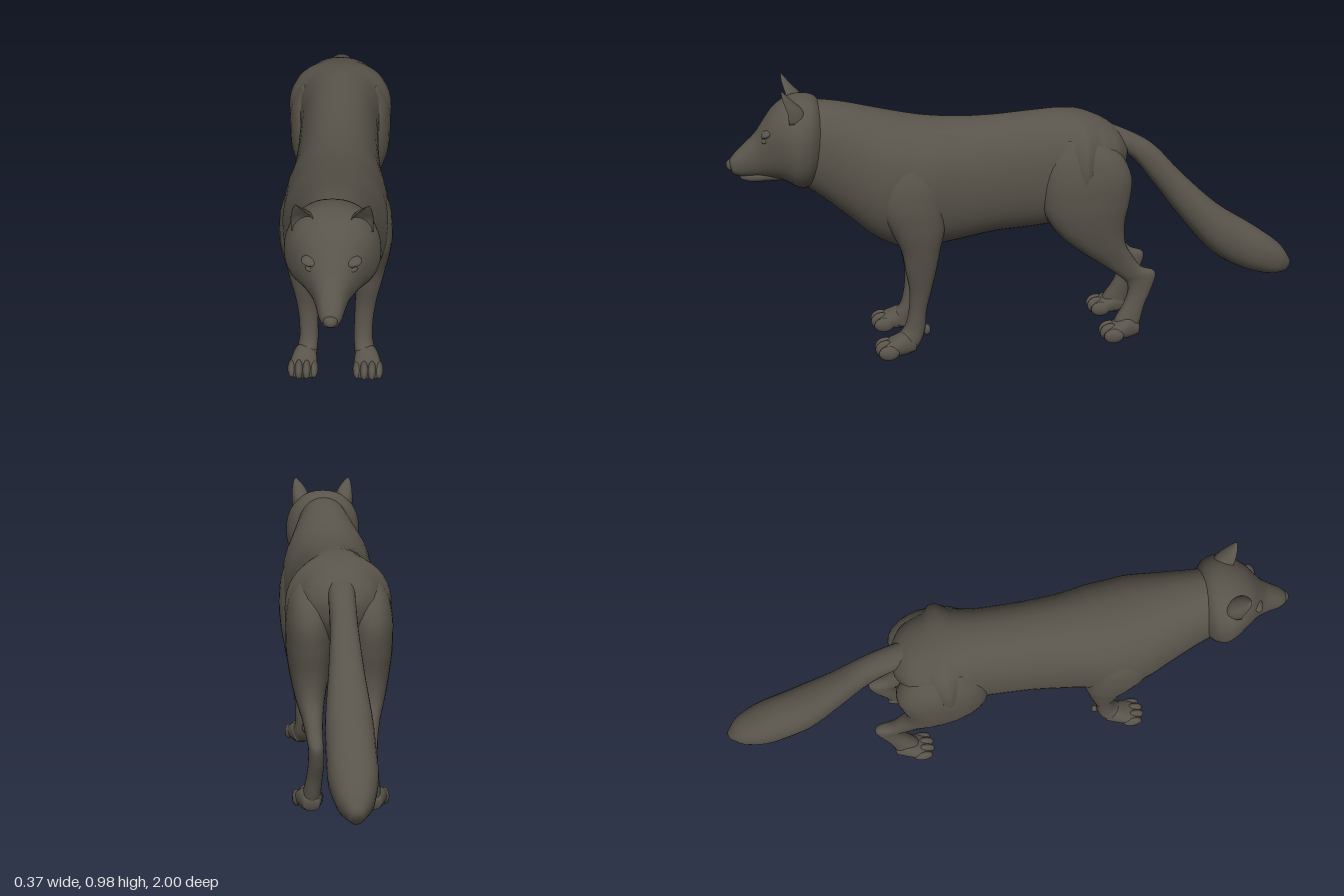
import * as THREE from 'three';

const fur = new THREE.MeshStandardMaterial({ color: 0x59544b });
fur.name = 'darkFur';

// Smooth skin through cross-sections [xCentre, halfWidth, y1, z1, y2, z2],
// where (y1, z1) and (y2, z2) are opposite edges of the section in side view.
function loft(name, sections, { side = 1, segs = 28, steps = 4, power = 0.9, bend = (s) => s } = {}) {
  const curve = (f) => new THREE.CatmullRomCurve3(sections.map(f));
  const mid = curve((s) => new THREE.Vector3(s[0] * side, s[1], 0));
  const edgeA = curve((s) => new THREE.Vector3(0, s[2], s[3]));
  const edgeB = curve((s) => new THREE.Vector3(0, s[4], s[5]));
  const rings = (sections.length - 1) * steps;
  const pos = [], idx = [];
  const soft = (v) => Math.sign(v) * Math.pow(Math.abs(v), power);
  for (let i = 0; i <= rings; i++) {
    const t = i / rings, m = mid.getPoint(t), a = edgeA.getPoint(t), b = edgeB.getPoint(t);
    for (let j = 0; j < segs; j++) {
      const ang = (j / segs) * Math.PI * 2;
      const c = soft(Math.cos(ang)), s = bend(soft(Math.sin(ang)));
      pos.push(m.x + m.y * c, (a.y + b.y) / 2 + (a.y - b.y) / 2 * s, (a.z + b.z) / 2 + (a.z - b.z) / 2 * s);
    }
  }
  for (let i = 0; i < rings; i++) {
    for (let j = 0; j < segs; j++) {
      const k = (j + 1) % segs, p = i * segs, q = p + segs;
      idx.push(p + j, q + j, p + k, p + k, q + j, q + k);
    }
  }
  // End caps
  for (const [i, flip] of [[0, false], [rings, true]]) {
    const centre = pos.length / 3, sum = [0, 0, 0];
    for (let j = 0; j < segs; j++) for (let d = 0; d < 3; d++) sum[d] += pos[(i * segs + j) * 3 + d] / segs;
    pos.push(...sum);
    for (let j = 0; j < segs; j++) {
      const p = i * segs + j, q = i * segs + (j + 1) % segs;
      if (flip) idx.push(centre, q, p); else idx.push(centre, p, q);
    }
  }
  // Turn the faces outward using the signed volume
  const v = (n) => new THREE.Vector3().fromArray(pos, n * 3);
  let volume = 0;
  for (let i = 0; i < idx.length; i += 3) volume += v(idx[i]).dot(v(idx[i + 1]).cross(v(idx[i + 2])));
  if (volume < 0) idx.reverse();
  const geo = new THREE.BufferGeometry();
  geo.setAttribute('position', new THREE.Float32BufferAttribute(pos, 3));
  geo.setIndex(idx);
  geo.computeVertexNormals();
  const mesh = new THREE.Mesh(geo, fur);
  mesh.name = name;
  return mesh;
}

function blob(name, x, y, z, rx, ry, rz, tilt = 0) {
  const mesh = new THREE.Mesh(new THREE.SphereGeometry(1, 16, 12), fur);
  mesh.scale.set(rx, ry, rz);
  mesh.position.set(x, y, z);
  mesh.rotation.x = tilt;
  mesh.name = name;
  return mesh;
}

// Foot whose toes end at z = tip
function paw(name, side, tip) {
  const g = new THREE.Group();
  g.name = name;
  g.add(loft('pawPad', [
    [0.102, 0.026, 0.055, tip - 0.145, 0.012, tip - 0.14],
    [0.105, 0.038, 0.085, tip - 0.105, 0.003, tip - 0.11],
    [0.109, 0.046, 0.07, tip - 0.065, 0.003, tip - 0.065],
    [0.111, 0.045, 0.05, tip - 0.025, 0.008, tip - 0.025],
    [0.111, 0.034, 0.035, tip - 0.012, 0.014, tip - 0.012],
  ], { side }));
  [-0.037, -0.013, 0.013, 0.037].forEach((dx, i) => {
    const outer = i === 0 || i === 3;
    g.add(blob('toe', side * (0.111 + dx), outer ? 0.028 : 0.034, tip - (outer ? 0.045 : 0.035),
      0.0155, outer ? 0.027 : 0.032, 0.036));
  });
  return g;
}

export function createModel() {
  const wolf = new THREE.Group();
  wolf.name = 'wolf';

  // Neck, chest, belly and rump
  wolf.add(loft('body', [
    [0, 0.095, 0.92, 0.74, 0.64, 0.77],
    [0, 0.118, 0.903, 0.62, 0.57, 0.68],
    [0, 0.145, 0.878, 0.52, 0.49, 0.59],
    [0, 0.168, 0.855, 0.43, 0.42, 0.51],
    [0, 0.17, 0.835, 0.33, 0.373, 0.40],
    [0, 0.15, 0.825, 0.21, 0.385, 0.27],
    [0, 0.138, 0.826, 0.09, 0.413, 0.10],
    [0, 0.135, 0.835, -0.05, 0.423, -0.05],
    [0, 0.148, 0.837, -0.15, 0.44, -0.14],
    [0, 0.148, 0.816, -0.24, 0.50, -0.23],
    [0, 0.115, 0.77, -0.32, 0.56, -0.31],
    [0, 0.05, 0.71, -0.365, 0.62, -0.355],
  ], { segs: 40 }));

  // Bushy tail
  wolf.add(loft('tail', [
    [0, 0.045, 0.79, -0.27, 0.69, -0.29],
    [0, 0.044, 0.76, -0.345, 0.66, -0.375],
    [0, 0.045, 0.70, -0.455, 0.56, -0.46],
    [0, 0.058, 0.575, -0.575, 0.42, -0.565],
    [0, 0.076, 0.45, -0.71, 0.27, -0.695],
    [0, 0.077, 0.35, -0.86, 0.20, -0.81],
    [0, 0.055, 0.27, -0.96, 0.167, -0.92],
    [0, 0.02, 0.21, -0.998, 0.168, -0.975],
  ]));

  // Cheek ruff, skull and muzzle
  wolf.add(loft('head', [
    [0, 0.08, 0.86, 0.66, 0.67, 0.68],
    [0, 0.132, 0.923, 0.695, 0.618, 0.735],
    [0, 0.144, 0.935, 0.745, 0.62, 0.765],
    [0, 0.132, 0.925, 0.79, 0.635, 0.79],
    [0, 0.106, 0.895, 0.835, 0.65, 0.82],
    [0, 0.08, 0.85, 0.87, 0.655, 0.85],
    [0, 0.058, 0.808, 0.90, 0.66, 0.885],
    [0, 0.044, 0.775, 0.935, 0.662, 0.925],
    [0, 0.035, 0.745, 0.967, 0.664, 0.957],
    [0, 0.024, 0.722, 0.987, 0.672, 0.978],
  ], { segs: 36 }));
  wolf.add(loft('lowerJaw', [
    [0, 0.05, 0.70, 0.79, 0.645, 0.79],
    [0, 0.042, 0.69, 0.86, 0.643, 0.86],
    [0, 0.03, 0.68, 0.92, 0.642, 0.92],
    [0, 0.015, 0.67, 0.958, 0.65, 0.952],
  ]));
  wolf.add(blob('nose', 0, 0.703, 0.98, 0.022, 0.021, 0.02));

  for (const side of [1, -1]) {
    const tag = side > 0 ? 'left' : 'right';

    // Cupped ears open to the front
    wolf.add(loft(tag + 'Ear', [
      [0.083, 0.036, 0.87, 0.84, 0.87, 0.725],
      [0.085, 0.035, 0.905, 0.835, 0.905, 0.735],
      [0.092, 0.026, 0.94, 0.825, 0.94, 0.765],
      [0.1, 0.013, 0.966, 0.815, 0.966, 0.788],
      [0.104, 0.003, 0.979, 0.807, 0.979, 0.798],
    ], { side, bend: (s) => (s > 0 ? -0.4 * s : s) }));
    wolf.add(blob(tag + 'Brow', side * 0.058, 0.824, 0.858, 0.03, 0.012, 0.02, 0.5));
    wolf.add(blob(tag + 'Eye', side * 0.056, 0.8, 0.864, 0.02, 0.01, 0.014));

    // Front leg with shoulder
    wolf.add(loft(tag + 'FrontLeg', [
      [0.105, 0.045, 0.73, 0.45, 0.73, 0.36],
      [0.113, 0.066, 0.64, 0.50, 0.64, 0.30],
      [0.115, 0.07, 0.56, 0.505, 0.56, 0.285],
      [0.115, 0.064, 0.47, 0.465, 0.47, 0.285],
      [0.114, 0.053, 0.40, 0.435, 0.40, 0.30],
      [0.109, 0.043, 0.32, 0.422, 0.32, 0.315],
      [0.1, 0.036, 0.24, 0.41, 0.24, 0.333],
      [0.094, 0.032, 0.16, 0.414, 0.16, 0.352],
      [0.093, 0.032, 0.10, 0.43, 0.10, 0.357],
      [0.098, 0.034, 0.065, 0.455, 0.05, 0.372],
      [0.1, 0.034, 0.025, 0.455, 0.015, 0.395],
    ], { side }));
    wolf.add(blob(tag + 'Dewclaw', side * 0.09, 0.082, 0.352, 0.012, 0.02, 0.013));
    wolf.add(paw(tag + 'FrontPaw', side, 0.535));

    // Hind leg with thigh and hock
    wolf.add(loft(tag + 'HindLeg', [
      [0.085, 0.045, 0.76, -0.12, 0.765, -0.23],
      [0.095, 0.074, 0.67, -0.065, 0.70, -0.325],
      [0.1, 0.08, 0.58, -0.05, 0.62, -0.365],
      [0.1, 0.078, 0.50, -0.06, 0.53, -0.36],
      [0.1, 0.067, 0.425, -0.105, 0.445, -0.345],
      [0.1, 0.05, 0.355, -0.18, 0.37, -0.35],
      [0.095, 0.035, 0.29, -0.265, 0.315, -0.378],
      [0.09, 0.027, 0.235, -0.335, 0.265, -0.415],
      [0.088, 0.025, 0.205, -0.363, 0.243, -0.465],
      [0.088, 0.026, 0.17, -0.368, 0.185, -0.455],
      [0.093, 0.027, 0.12, -0.35, 0.12, -0.428],
      [0.1, 0.03, 0.07, -0.32, 0.055, -0.41],
      [0.104, 0.034, 0.025, -0.31, 0.015, -0.395],
    ], { side }));
    wolf.add(paw(tag + 'HindPaw', side, -0.263));
  }
  return wolf;
}
